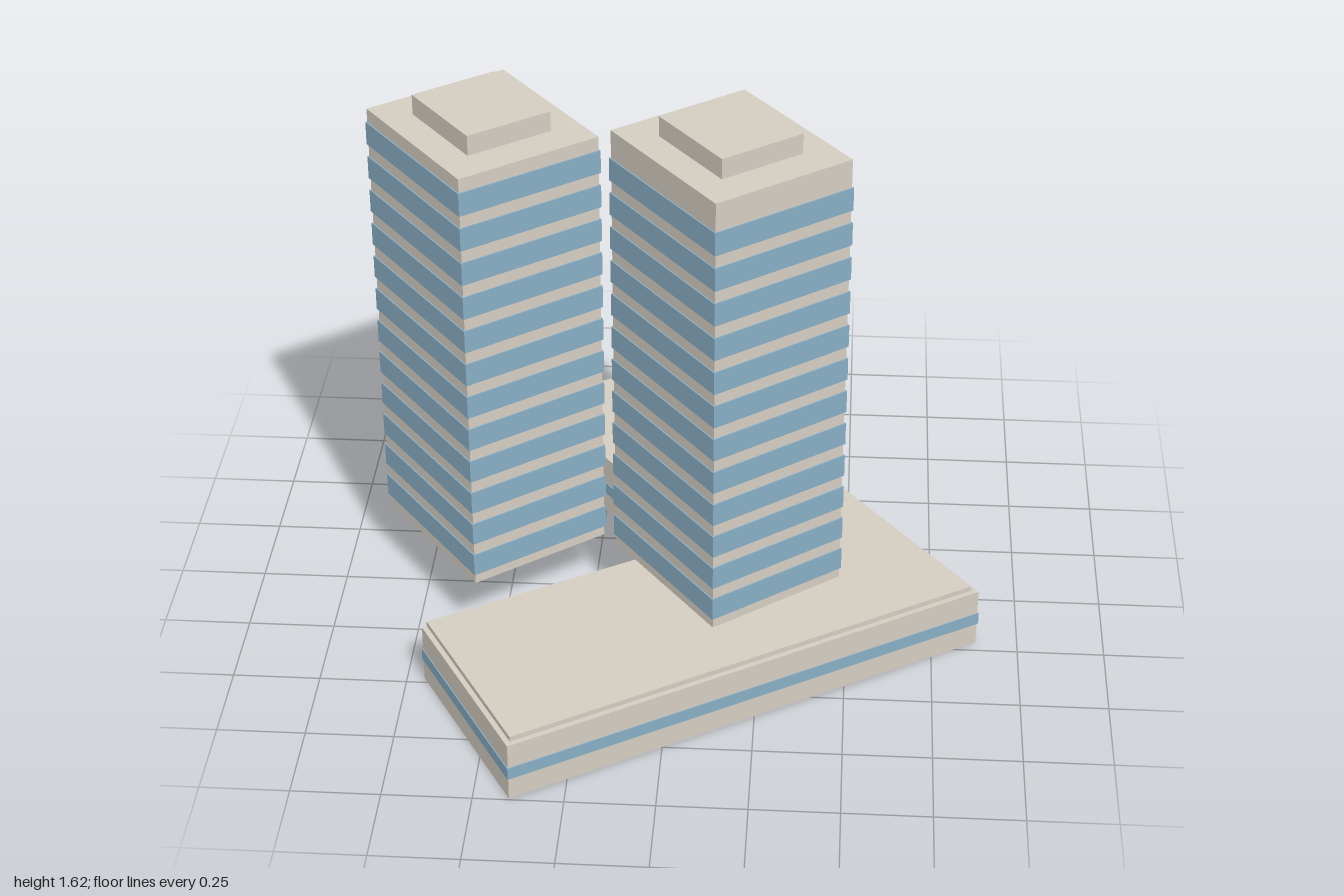
import * as THREE from 'three';

const concrete = new THREE.MeshStandardMaterial({ color: 0xd4cdc1 });
concrete.name = 'concrete';
const glass = new THREE.MeshStandardMaterial({ color: 0x88adc4 });
glass.name = 'glass';

// L-shaped podium plan as [x, z]; the two edges meeting at index 4 are the inner ones
const plan = [[-0.06, -1.0], [0.88, 0.21], [-0.4, 0.995], [-0.7, 0.48], [0.07, 0.02], [-0.51, -0.74]];

// Move each plan edge outward by its own distance and intersect neighbours
function offsetPlan(points, distances) {
  const lines = points.map((p, i) => {
    const q = points[(i + 1) % points.length];
    const length = Math.hypot(q[0] - p[0], q[1] - p[1]);
    const nx = (q[1] - p[1]) / length, nz = -(q[0] - p[0]) / length;
    return [nx, nz, nx * p[0] + nz * p[1] + distances[i]];
  });
  return lines.map((b, i) => {
    const a = lines[(i + lines.length - 1) % lines.length];
    const det = a[0] * b[1] - a[1] * b[0];
    return [(a[2] * b[1] - a[1] * b[2]) / det, (a[0] * b[2] - a[2] * b[0]) / det];
  });
}

function podiumLayer(name, points, bottom, top, material) {
  const shape = new THREE.Shape(points.map(([x, z]) => new THREE.Vector2(x, -z)));
  const geometry = new THREE.ExtrudeGeometry(shape, { depth: top - bottom, bevelEnabled: false });
  geometry.rotateX(-Math.PI / 2);
  const mesh = new THREE.Mesh(geometry, material);
  mesh.name = name;
  mesh.position.y = bottom;
  return mesh;
}

function block(name, width, depth, bottom, top, material) {
  const mesh = new THREE.Mesh(new THREE.BoxGeometry(width, top - bottom, depth), material);
  mesh.name = name;
  mesh.position.y = (bottom + top) / 2;
  return mesh;
}

function tower(name, x, z, roof) {
  const group = new THREE.Group();
  group.name = name;
  group.position.set(x, 0, z);
  group.rotation.y = THREE.MathUtils.degToRad(-52.5);
  const width = 0.503, depth = 0.443, base = 0.196;
  group.add(block('towerCore', width, depth, base, roof, concrete));
  // Twelve ribbon windows, slightly proud of the walls
  for (let i = 0; i < 12; i++) {
    const y = 0.227 + i * 0.107;
    group.add(block('windowBand', width + 0.008, depth + 0.008, y, y + 0.069, glass));
  }
  group.add(block('roofPlantRoom', 0.3, 0.264, roof, roof + 0.06, concrete));
  return group;
}

export function createModel() {
  const model = new THREE.Group();
  model.name = 'twinTowerComplex';

  // Podium with a window ribbon and a roof slab set back on the outer edges
  const podium = new THREE.Group();
  podium.name = 'podium';
  podium.add(
    podiumLayer('podiumBody', plan, 0, 0.18, concrete),
    podiumLayer('podiumWindowBand', offsetPlan(plan, Array(6).fill(0.003)), 0.068, 0.105, glass),
    podiumLayer('podiumRoofSlab', offsetPlan(plan, [-0.015, -0.015, -0.015, 0, 0, -0.015]), 0.18, 0.196, concrete)
  );
  model.add(podium);

  model.add(tower('rightTower', -0.548, -0.056, 1.515));
  model.add(tower('leftTower', 0.147, 0.116, 1.558));
  return model;
}
